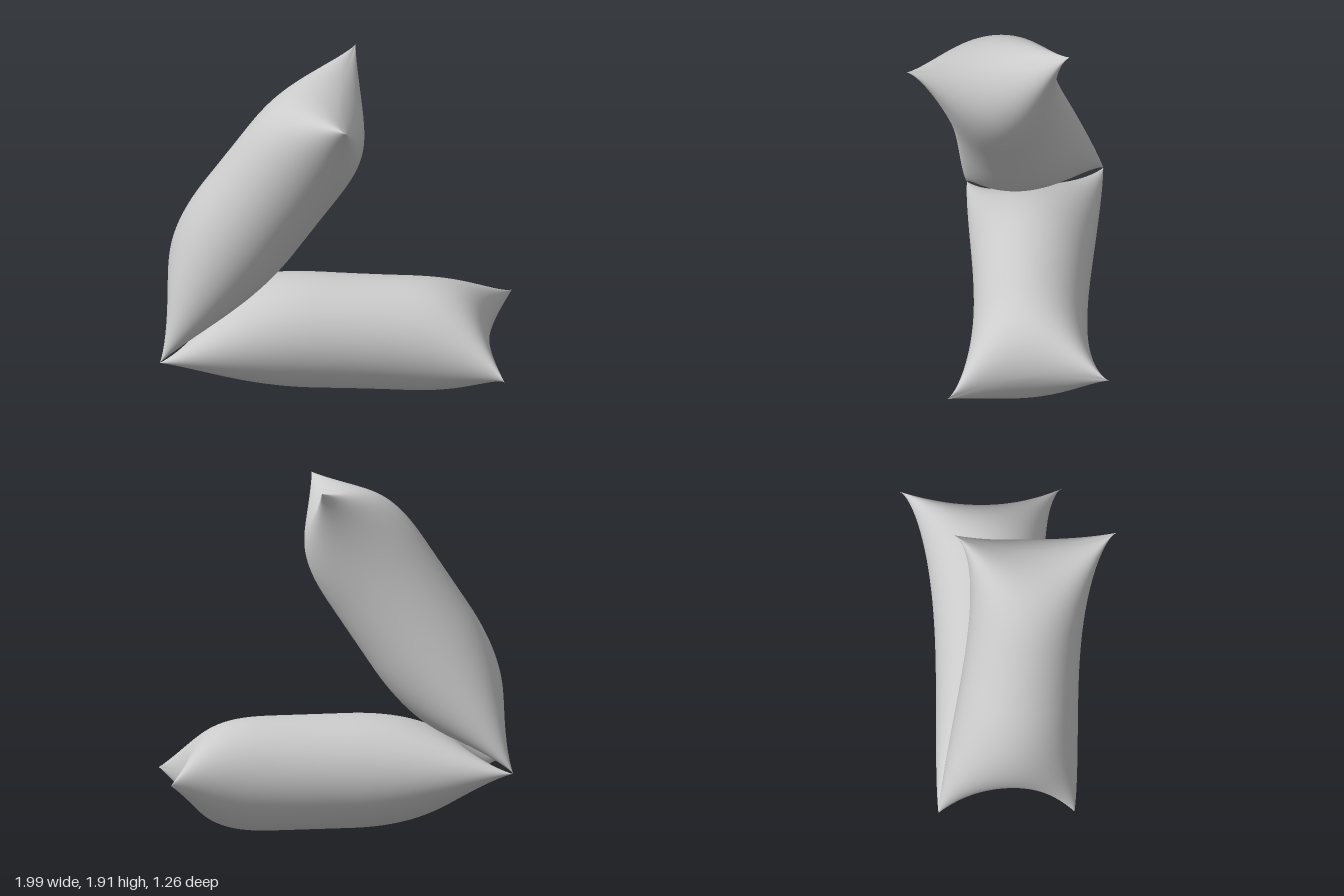
import * as THREE from 'three';

const V = (x, y, z) => new THREE.Vector3(x, y, z);

// Inflated cushion lofted between a hinge edge (a, b) and a free edge (d, c)
function cushionGeometry(a, b, c, d, rows = 90, cols = 96) {
  const hinge = a.clone().add(b).multiplyScalar(0.5);
  const free = c.clone().add(d).multiplyScalar(0.5);
  const axis = free.clone().sub(hinge);
  const length = axis.length();
  axis.normalize();
  const pos = [], idx = [];
  for (let i = 0; i <= rows; i++) {
    // rows crowd towards both seams
    const u = (1 - Math.cos(Math.PI * i / rows)) / 2;
    const p = a.clone().lerp(d, u), q = b.clone().lerp(c, u);
    const mid = p.clone().add(q).multiplyScalar(0.5);
    const across = p.clone().sub(q);
    // side seams draw in, more so towards the free end
    const halfWidth = across.length() / 2 - 0.4 * u ** 1.5 * (1 - u) ** 0.6;
    across.normalize();
    const up = axis.clone().cross(across).normalize();
    // long taper at the hinge, blunt rounding at the free end
    const s = Math.max(0, 1 - u * length / 0.85), e = Math.max(0, 1 - (1 - u) * length / 0.6);
    const halfThick = 0.307 * (1 - s ** 2) ** 0.7 * (1 - e ** 2.6) ** 0.55;
    const inset = 0.18 * s ** 2 - 0.1 * e ** 2;
    for (let j = 0; j < cols; j++) {
      const t = j / cols * Math.PI * 2, cs = Math.cos(t), sn = Math.sin(t);
      const v = mid.clone()
        .addScaledVector(across, halfWidth * cs)
        .addScaledVector(up, halfThick * sn)
        .addScaledVector(axis, inset * sn * sn);
      pos.push(v.x, v.y, v.z);
      if (i < rows) {
        const k = i * cols + j, n = i * cols + (j + 1) % cols;
        idx.push(k, n, k + cols, n, n + cols, k + cols);
      }
    }
  }
  const g = new THREE.BufferGeometry();
  g.setAttribute('position', new THREE.Float32BufferAttribute(pos, 3));
  g.setIndex(idx);
  g.computeVertexNormals();
  return g;
}

export function createModel() {
  const group = new THREE.Group();
  group.name = 'foldedCushions';
  const material = new THREE.MeshStandardMaterial({ color: 0xcccccc, side: THREE.DoubleSide });

  // corners of the lying cushion: hinge front, hinge back, free back, free front
  const corners = [V(-1, 0.26, 0.07), V(-0.8, 0.37, -0.63), V(0.99, 0.36, -0.21), V(0.76, 0.22, 0.63)];

  // the raised cushion mirrors it across the plane through the shared hinge
  const tilt = THREE.MathUtils.degToRad(29.1);
  const normal = V(-Math.sin(tilt), Math.cos(tilt), 0);
  const mirror = p => p.clone().addScaledVector(normal, -2 * p.clone().sub(corners[0]).dot(normal));

  const parts = { lowerCushion: corners, upperCushion: corners.map(mirror) };
  for (const [name, pts] of Object.entries(parts)) {
    const mesh = new THREE.Mesh(cushionGeometry(...pts), material);
    mesh.name = name;
    group.add(mesh);
  }
  return group;
}
